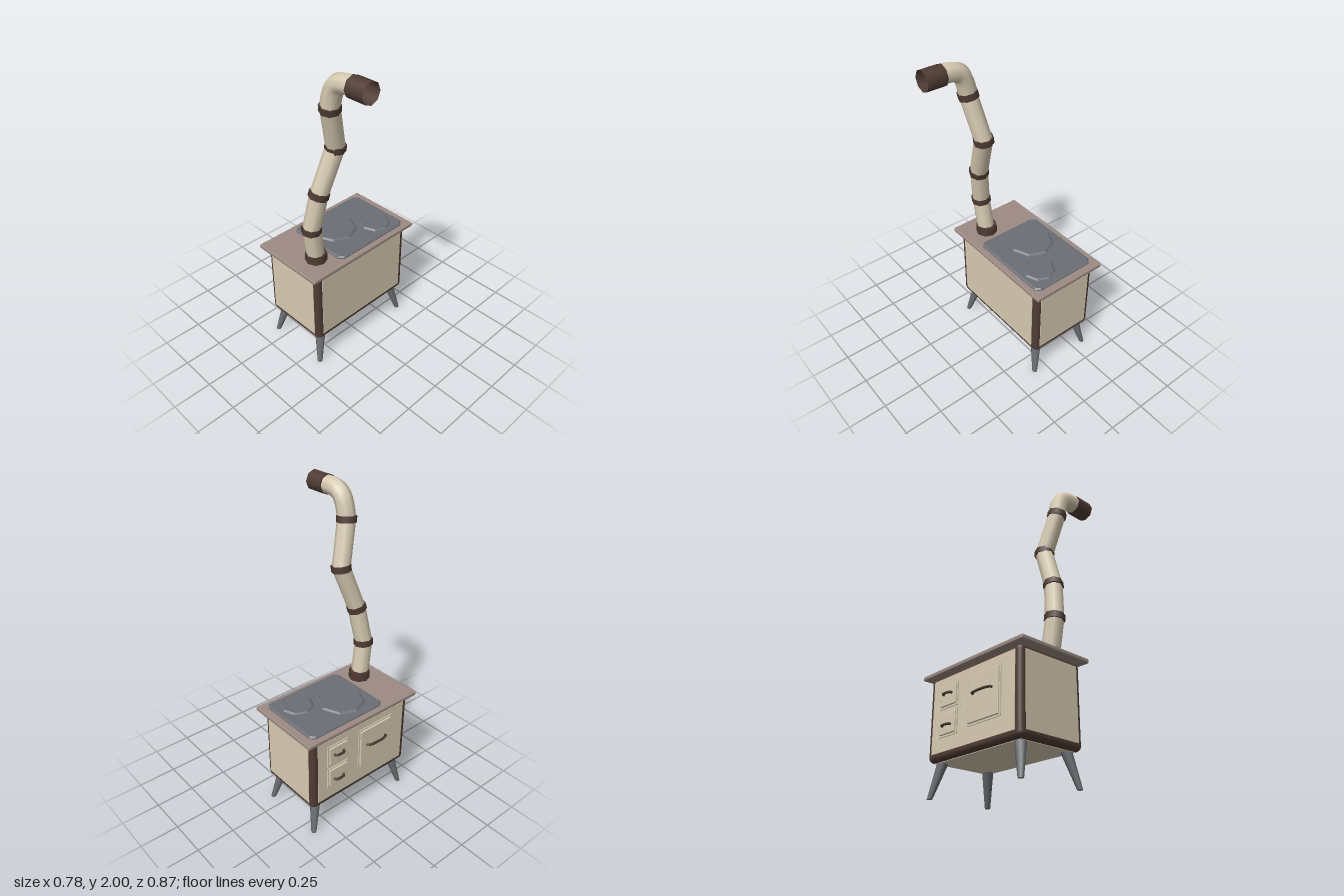
import * as THREE from 'three';
import { RoundedBoxGeometry } from 'three/addons/geometries/RoundedBoxGeometry.js';

const mat = (name, color, side = THREE.FrontSide) => {
  const m = new THREE.MeshStandardMaterial({ color, side });
  m.name = name;
  return m;
};
const V = (x, y, z) => new THREE.Vector3(x, y, z);

export function createModel() {
  const cream = mat('cream enamel', 0xd8ccb3, THREE.DoubleSide);
  const brown = mat('dark brown', 0x503c34, THREE.DoubleSide);
  const taupe = mat('taupe worktop', 0x9c8b83);
  const grey = mat('grey iron', 0x6b6e74);

  const model = new THREE.Group();
  model.name = 'stove';
  const add = (name, geometry, material, x = 0, y = 0, z = 0, parent = model) => {
    const mesh = new THREE.Mesh(geometry, material);
    mesh.name = name;
    mesh.position.set(x, y, z);
    parent.add(mesh);
    return mesh;
  };
  const box = (w, h, d) => new THREE.BoxGeometry(w, h, d);
  const flat = (g) => {
    const f = g.toNonIndexed();
    f.computeVertexNormals();
    return f;
  };

  // Body: rounded brown frame with thin enamel panels
  const cx = -0.123, W = 0.455, D = 0.775, y0 = 0.2, y1 = 0.705;
  const cy = (y0 + y1) / 2;
  add('bodyFrame', new RoundedBoxGeometry(W, y1 - y0, D, 3, 0.03), brown, cx, cy, 0);
  for (const s of [-1, 1]) {
    add('endPanel', box(W - 0.07, 0.435, 0.006), cream, cx, 0.458, s * D / 2);
    add('sidePanel', box(0.006, 0.435, D - 0.08), cream, cx + s * W / 2, 0.458, 0);
  }
  add('bottomPanel', box(W - 0.065, 0.006, D - 0.065), cream, cx, y0, 0);

  // Worktop
  add('worktop', new RoundedBoxGeometry(0.515, 0.027, 0.865, 2, 0.008), taupe, cx, 0.7145, 0);

  // Hob plate with cut corners and bevelled rim
  const hw = 0.2125, hd = 0.2725, c = 0.022;
  const hob = new THREE.Shape([
    [-hw + c, -hd], [hw - c, -hd], [hw, -hd + c], [hw, hd - c],
    [hw - c, hd], [-hw + c, hd], [-hw, hd - c], [-hw, -hd + c],
  ].map(([x, y]) => new THREE.Vector2(x, y)));
  const hobGeo = new THREE.ExtrudeGeometry(hob, {
    depth: 0.006, bevelEnabled: true, bevelThickness: 0.008, bevelSize: 0.01, bevelSegments: 1,
  });
  hobGeo.rotateX(-Math.PI / 2);
  add('hobPlate', hobGeo, grey, cx, 0.728, -0.102);

  // Raised eight-sided burners
  for (const [x, z, r, h] of [[-0.165, -0.008, 0.148, 0.011], [-0.03, -0.243, 0.104, 0.009]]) {
    add('burner', flat(new THREE.CylinderGeometry(r - 0.011, r, h, 8)), grey, x, 0.742 + h / 2, z);
  }

  // Splayed tapering legs, sheared so the feet stay level
  for (const sx of [-1, 1]) for (const sz of [-1, 1]) {
    const g = new THREE.CylinderGeometry(0.034, 0.016, 0.21, 8);
    g.applyMatrix4(new THREE.Matrix4().set(
      1, -sx * 0.22, 0, 0,
      0, 1, 0, 0,
      0, -sz * 0.24, 1, 0,
      0, 0, 0, 1));
    add('leg', g, grey, cx + sx * 0.187, 0.105, sz * 0.344);
  }

  // Doors with bowed handles on the -x side
  const doors = [
    ['upperDoor', 0.558, -0.198, 0.145, 0.16, 0.565, 0.085],
    ['lowerDoor', 0.393, -0.198, 0.145, 0.16, 0.38, 0.085],
    ['ovenDoor', 0.482, 0.107, 0.295, 0.275, 0.505, 0.17],
  ];
  for (const [name, y, z, h, d, hy, hl] of doors) {
    const door = new THREE.Group();
    door.name = name;
    model.add(door);
    add('doorSurround', box(0.014, h, d), cream, -0.352, y, z, door);
    add('doorPanel', new RoundedBoxGeometry(0.022, h - 0.022, d - 0.022, 1, 0.005), cream, -0.357, y, z, door);
    const bow = new THREE.CatmullRomCurve3([
      V(-0.364, 0, -hl / 2 + 0.006), V(-0.381, 0, -hl / 2 + 0.014),
      V(-0.382, 0, hl / 2 - 0.014), V(-0.364, 0, hl / 2 - 0.006)]);
    add('handle', new THREE.TubeGeometry(bow, 12, 0.008, 6), brown, 0, hy, z, door);
  }

  // Crooked stovepipe
  const up = V(0, 1, 0);
  const sides = 8;
  const aim = (mesh, dir) => mesh.quaternion.setFromUnitVectors(up, dir);
  const joints = [
    V(-0.022, 0.73, 0.277), V(-0.012, 0.977, 0.313), V(0.022, 1.217, 0.277),
    V(0.055, 1.497, 0.175), V(0.098, 1.77, 0.25),
  ];
  const dirs = joints.slice(1).map((p, i) => p.clone().sub(joints[i]).normalize());
  dirs.push(V(0.15, 1, 0).normalize());
  for (let i = 0; i < 4; i++) {
    const mid = joints[i].clone().lerp(joints[i + 1], 0.5);
    const len = joints[i].distanceTo(joints[i + 1]) + 0.01;
    aim(add('pipeSection', new THREE.CylinderGeometry(0.056, 0.056, len, sides), cream, mid.x, mid.y, mid.z), dirs[i]);
    const p = joints[i + 1];
    aim(add('pipeRing', new THREE.CylinderGeometry(0.062, 0.062, 0.04, sides), brown, p.x, p.y, p.z),
      dirs[i].clone().add(dirs[i + 1]).normalize());
  }
  add('baseCollar', new THREE.CylinderGeometry(0.067, 0.069, 0.06, sides), brown, -0.022, 0.755, 0.276);

  // Elbow and open outlet sleeve
  const elbow = new THREE.CubicBezierCurve3(
    joints[4], V(0.122, 1.92, 0.25), V(0.15, 1.938, 0.247), V(0.27, 1.938, 0.247));
  add('elbow', new THREE.TubeGeometry(elbow, 12, 0.056, sides), cream);
  const sleeve = new THREE.CylinderGeometry(0.063, 0.063, 0.125, sides, 1, true);
  sleeve.rotateZ(-Math.PI / 2);
  add('outletSleeve', sleeve, brown, 0.3225, 1.937, 0.245);
  const lip = new THREE.RingGeometry(0.05, 0.063, sides);
  lip.rotateY(-Math.PI / 2);
  add('sleeveShoulder', lip, brown, 0.261, 1.937, 0.245);

  return model;
}
